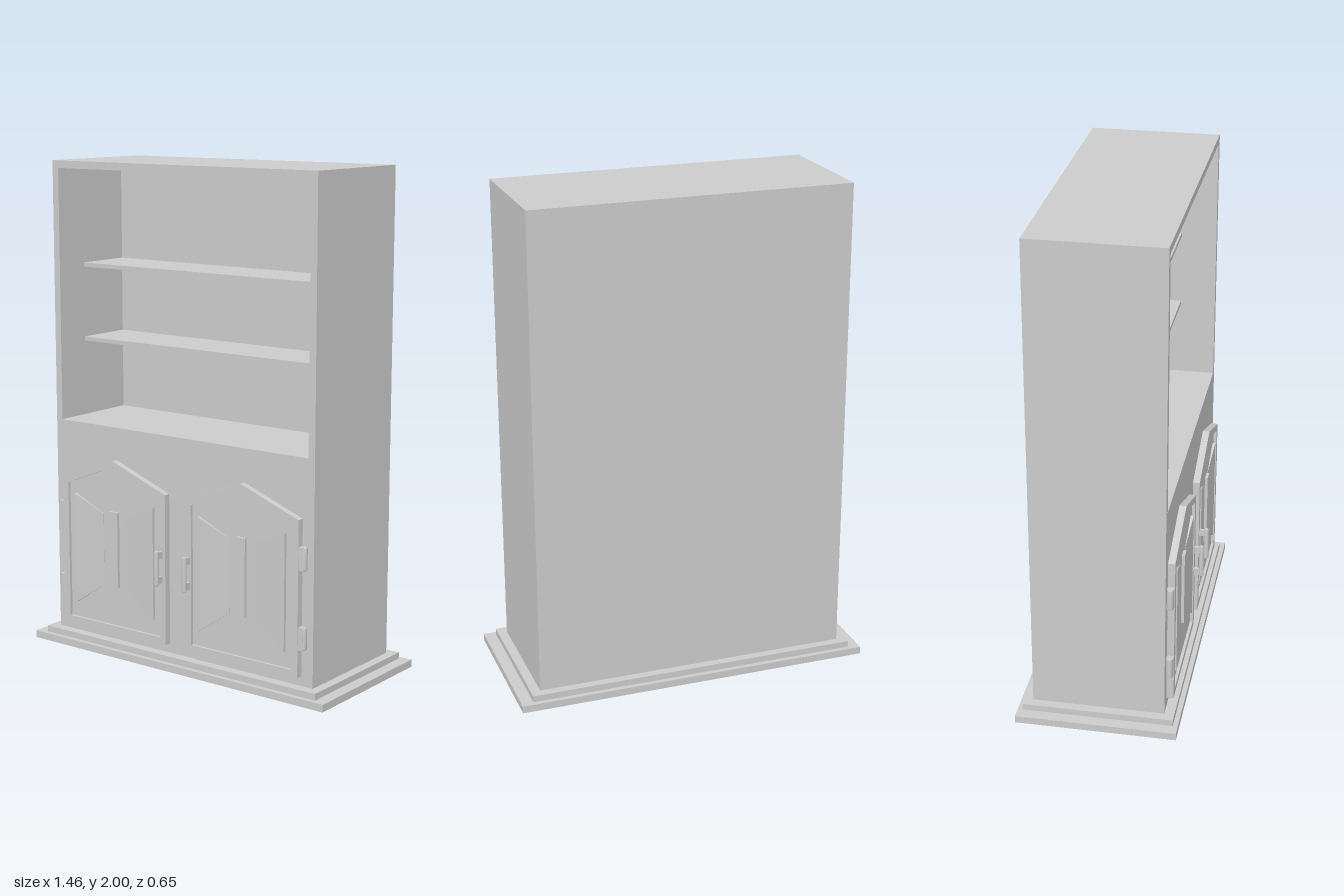
import * as THREE from 'three';

const mat = new THREE.MeshStandardMaterial({ color: 0xcccccc, flatShading: true });
const smooth = new THREE.MeshStandardMaterial({ color: 0xcccccc });

function add(parent, name, geo, material = mat) {
  const m = new THREE.Mesh(geo, material);
  m.name = name;
  parent.add(m);
  return m;
}

// Box given by its min and max on each axis
function box(parent, name, x0, x1, y0, y1, z0, z1) {
  const m = add(parent, name, new THREE.BoxGeometry(x1 - x0, y1 - y0, z1 - z0));
  m.position.set((x0 + x1) / 2, (y0 + y1) / 2, (z0 + z1) / 2);
  return m;
}

const outline = (pts, C = THREE.Shape) => new C(pts.map(p => new THREE.Vector2(...p)));
const rect = (x0, x1, y0, y1) => [[x0, y0], [x1, y0], [x1, y1], [x0, y1]];

// Flat plate in the xy plane, with an optional hole, from z0 to z1
function plate(outer, inner, z0, z1) {
  const s = outline(outer);
  if (inner) s.holes.push(outline(inner, THREE.Path));
  return new THREE.ExtrudeGeometry(s, { depth: z1 - z0, bevelEnabled: false }).translate(0, 0, z0);
}

// Vertical capsule-like rod
function rod(parent, name, x, z, y0, y1, r) {
  const b = r * 0.4, h = y1 - y0;
  const prof = [[0, 0], [r - b, 0], [r, b], [r, h - b], [r - b, h], [0, h]];
  const m = add(parent, name, new THREE.LatheGeometry(prof.map(p => new THREE.Vector2(...p)), 16), smooth);
  m.position.set(x, y0, z);
}

// Sloping trapezoid: tall raised edge at xa, short low edge at xb
function slopedPanel(xa, xb, z0, zHigh, zLow) {
  const pts = [[xa, 0.185], [xb, 0.285], [xb, 0.585], [xa, 0.65]];
  const g = plate(xa < xb ? pts : pts.slice().reverse(), null, z0, zHigh);
  const p = g.attributes.position;
  for (let i = 0; i < p.count; i++) {
    if (p.getZ(i) > z0 + 1e-4 && Math.abs(p.getX(i) - xb) < 1e-4) p.setZ(i, zLow);
  }
  g.computeVertexNormals();
  return g;
}

// Door on side s (+1 or -1), with hinges outside and handle inside
function door(s) {
  const g = new THREE.Group();
  g.name = s > 0 ? 'leftDoor' : 'rightDoor';
  const cx = 0.32 * s;
  const leaf = new THREE.Group();
  leaf.name = 'doorLeaf';
  leaf.position.x = cx;
  g.add(leaf);
  const gable = (w, y0, y1, y2) => [[-w, y0], [w, y0], [w, y1], [0, y2], [-w, y1]];
  const inner = gable(0.24, 0.122, 0.692, 0.788);
  add(leaf, 'doorFrame', plate(gable(0.27, 0.095, 0.712, 0.812), inner, 0.25, 0.285));
  add(leaf, 'doorPanel', plate(inner, null, 0.25, 0.273));
  box(leaf, 'centreBar', -0.022, 0.022, 0.285, 0.6, 0.27, 0.285);
  add(leaf, 'slopedPanelA', slopedPanel(-0.207, -0.06, 0.27, 0.285, 0.274));
  add(leaf, 'slopedPanelB', slopedPanel(0.207, 0.06, 0.27, 0.285, 0.274));

  for (const [y0, y1] of [[0.205, 0.295], [0.517, 0.608]]) {
    const x0 = Math.min(0.585 * s, 0.61 * s);
    box(g, 'hingePlate', x0, x0 + 0.025, y0, y1, 0.255, 0.283);
    rod(g, 'hingePin', 0.607 * s, 0.27, y0, y1, 0.013);
  }

  const hx = 0.07 * s;
  rod(g, 'handleGrip', hx, 0.315, 0.345, 0.487, 0.01);
  for (const y of [0.365, 0.467]) {
    box(g, 'handlePost', hx - 0.006, hx + 0.006, y - 0.014, y + 0.014, 0.28, 0.315);
  }
  return g;
}

export function createModel() {
  const root = new THREE.Group();
  root.name = 'bookcase';

  // Carcass: rear block and front shell open at the shelves
  const front = 0.257, back = -0.268, rear = -0.13;
  const body = new THREE.Group();
  body.name = 'carcass';
  root.add(body);
  box(body, 'rearBlock', -0.642, 0.642, 0.03, 2, back, rear);
  add(body, 'frontShell', plate(rect(-0.642, 0.642, 0.03, 2), rect(-0.612, 0.612, 0.945, 1.97), rear, front));

  // Shelves, set back from the front
  for (const y of [1.255, 1.562]) box(root, 'shelf', -0.613, 0.613, y, y + 0.017, rear - 0.001, 0.112);

  // Stepped plinth, hollow below the carcass
  const ring = (name, w, zb, zf, y0, y1) => {
    const geo = plate(rect(-w, w, -zf, -zb), rect(-0.64, 0.64, -0.255, 0.266), y0, y1);
    add(root, name, geo.rotateX(-Math.PI / 2));
  };
  ring('plinthLower', 0.728, -0.323, 0.317, 0, 0.03);
  ring('plinthUpper', 0.68, -0.303, 0.297, 0.03, 0.056);

  for (const s of [-1, 1]) root.add(door(s));
  return root;
}
